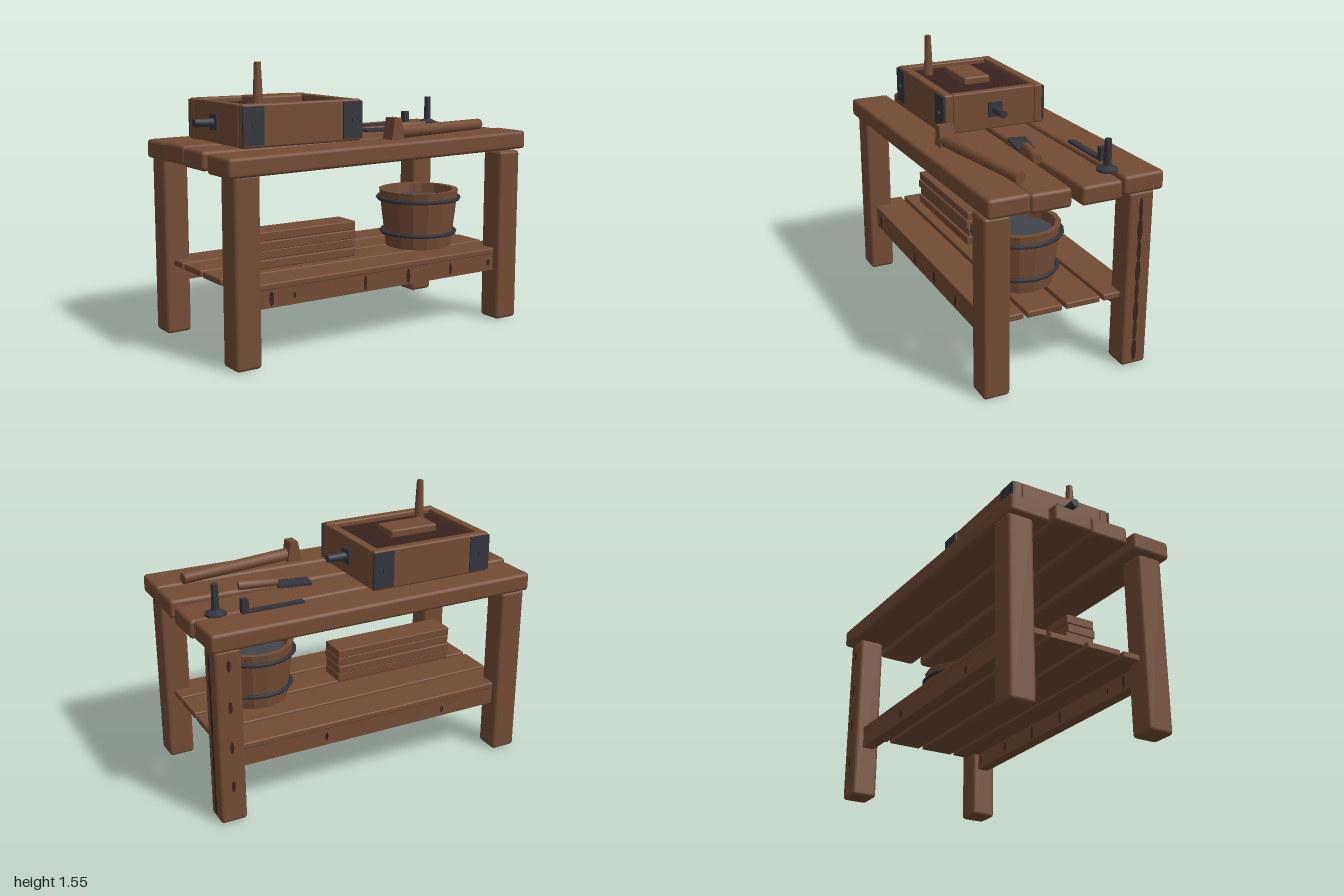
import * as THREE from 'three';
import { RoundedBoxGeometry } from 'three/addons/geometries/RoundedBoxGeometry.js';
import { toCreasedNormals } from 'three/addons/utils/BufferGeometryUtils.js';

const material = (name, color, extra = {}) => {
  const m = new THREE.MeshStandardMaterial({ color, ...extra });
  m.name = name;
  return m;
};

export function createModel() {
  const bench = new THREE.Group();
  bench.name = 'workbench';
  const wood = material('wood', 0x734c35);
  const dark = material('dark wood', 0x38221f);
  const iron = material('iron', 0x34353d);
  const water = material('water', 0x42454c);

  const add = (name, geo, mat, x, y, z, rx = 0, ry = 0, rz = 0, parent = bench) => {
    const m = new THREE.Mesh(geo, mat);
    m.name = name;
    m.position.set(x, y, z);
    m.rotation.set(rx, ry, rz);
    parent.add(m);
    return m;
  };
  const round = (w, h, d, r = 0.01) => new RoundedBoxGeometry(w, h, d, 2, r);
  const box = (w, h, d) => new THREE.BoxGeometry(w, h, d);
  const cyl = (top, bottom, h, n = 10) =>
    toCreasedNormals(new THREE.CylinderGeometry(top, bottom, h, n), 0.9);

  // Worktop: four slightly crooked planks [x, z, length, width, yaw, tilt]
  [
    [0, -0.385, 1.96, 0.24, 0.018, 0.006],
    [0, -0.132, 1.99, 0.235, 0.018, -0.004],
    [0, 0.126, 1.99, 0.23, -0.0125, 0.003],
    [0, 0.379, 1.99, 0.235, 0.0125, 0.01],
  ].forEach(([x, z, l, w, yaw, tilt]) =>
    add('topPlank', round(l, 0.105, w, 0.02), wood, x, 1.06, z, 0, yaw, tilt));

  // Legs, rails and shelf
  for (const sz of [1, -1]) {
    for (const sx of [1, -1]) {
      add('leg', round(0.15, 1.01, 0.15, 0.02), wood, sx * 0.877, 0.505, sz * 0.41);
    }
    add('rail', box(1.64, 0.1, 0.07), wood, 0, 0.348, sz * 0.402);
    add('shelfPlank', round(1.8, 0.036, 0.205, 0.008), wood, 0, 0.412, sz * 0.1135);
    add('shelfPlank', round(1.8, 0.036, 0.205, 0.008), wood, 0, 0.412, sz * 0.3375);
  }

  // Thin dark knots and cracks [x, width, height] on the rails
  const spot = new THREE.CircleGeometry(0.5, 8);
  const knot = (x, y, z, w, h, yaw) =>
    add('woodKnot', spot, dark, x, y, z, 0, yaw).scale.set(w, h, 1);
  for (const [x, w, h] of [[-0.72, 0.03, 0.08], [-0.58, 0.015, 0.04], [-0.125, 0.022, 0.09],
    [0.17, 0.028, 0.09], [0.475, 0.024, 0.07], [0.765, 0.026, 0.04]]) {
    knot(x, 0.347, 0.4385, w, h, 0);
    knot(x, 0.347, 0.3655, w * 0.6, h, Math.PI);
  }
  knot(-0.45, 0.34, -0.4385, 0.02, 0.05, Math.PI);
  knot(0.3, 0.35, -0.4385, 0.02, 0.05, Math.PI);
  // Long crack on one back leg
  for (let i = 0; i < 8; i++) {
    knot(0.9535, 0.09 + i * 0.117, -0.406, i % 2 ? 0.026 : 0.034, 0.14, Math.PI / 2);
    if (i % 2) knot(0.877, 0.1 + i * 0.117, -0.4865, 0.024, 0.07, Math.PI);
  }

  // Wooden box with an iron-strapped frame and an axle
  const chest = new THREE.Group();
  chest.name = 'toolBox';
  chest.position.set(-0.41, 1.225, -0.037);
  bench.add(chest);
  const part = (name, geo, mat, x, y, z, rx, ry, rz) => add(name, geo, mat, x, y, z, rx, ry, rz, chest);
  part('boxFill', box(0.66, 0.19, 0.52), dark, 0, -0.01, 0);
  part('boxLidBlock', round(0.3, 0.05, 0.165, 0.012), wood, -0.017, 0.11, 0);
  for (const s of [1, -1]) {
    part('boxLongBoard', round(0.745, 0.23, 0.055, 0.012), wood, 0, 0, s * 0.28);
    part('boxEndBoard', round(0.05, 0.226, 0.51, 0.008), wood, s * 0.347, 0, 0);
    part('axlePlate', box(0.016, 0.085, 0.085), iron, s * 0.378, 0.002, 0);
    part('axle', cyl(0.023, 0.023, 0.125, 10), iron, s * 0.435, 0.002, 0, 0, 0, Math.PI / 2);
    for (const e of [1, -1]) {
      part('strapPlate', box(0.125, 0.205, 0.012), iron, e * 0.311, 0.002, s * 0.31);
      part('strapBolt', cyl(0.012, 0.012, 0.016, 8), iron, e * 0.311, 0.002, s * 0.319, Math.PI / 2);
    }
  }
  part('peg', cyl(0.019, 0.03, 0.24, 8), wood, -0.205, 0.205, 0.172);

  // Long-handled mallet lying on the front plank
  const headShape = new THREE.Shape([[-0.043, 0], [0.043, 0], [0.024, 0.12], [-0.024, 0.12]]
    .map(([x, y]) => new THREE.Vector2(x, y)));
  add('malletHead', new THREE.ExtrudeGeometry(headShape, { depth: 0.085, bevelEnabled: false }),
    wood, 0.132, 1.113, 0.298);
  add('malletHandle', cyl(0.036, 0.032, 0.7, 10), wood, 0.5, 1.15, 0.292, 0, 0.165, 0)
    .rotateZ(Math.PI / 2);

  // Scraper with an iron blade
  const scraper = new THREE.Group();
  scraper.name = 'scraper';
  scraper.position.set(0.3, 1.12, -0.037);
  scraper.rotation.y = -0.18;
  bench.add(scraper);
  add('scraperBlade', box(0.19, 0.016, 0.1), iron, 0, 0.002, 0, 0, 0, 0, scraper);
  add('scraperHandle', cyl(0.023, 0.027, 0.22, 8), wood, 0.2, 0.018, 0, 0, 0, Math.PI / 2, scraper);

  // Iron square
  add('squareBlade', box(0.355, 0.016, 0.038), iron, 0.548, 1.12, -0.31);
  add('squareStock', box(0.035, 0.075, 0.04), iron, 0.708, 1.156, -0.31);

  // Iron stake on a round foot
  const stake = [[0, 0], [0.058, 0], [0.058, 0.012], [0.022, 0.03], [0.018, 0.17], [0, 0.17]]
    .map(([r, y]) => new THREE.Vector2(r, y));
  add('ironStake', toCreasedNormals(new THREE.LatheGeometry(stake, 12), 0.6), iron, 0.847, 1.114, -0.258);

  // Stack of boards on the shelf
  [0.004, -0.006, 0.006, 0].forEach((dz, i) =>
    add('stackedBoard', round(0.765, 0.05, 0.17, 0.006), wood, -0.379, 0.456 + i * 0.0512, 0.07 + dz));

  // Bucket with faceted staves, two hoops and water
  const bucket = new THREE.Group();
  bucket.name = 'bucket';
  bucket.position.set(0.51, 0.43, 0.086);
  bench.add(bucket);
  const staves = [[0, 0], [0.197, 0], [0.238, 0.34], [0.208, 0.34], [0.19, 0.2], [0, 0.2]]
    .map(([r, y]) => new THREE.Vector2(r, y));
  add('bucketStaves', toCreasedNormals(new THREE.LatheGeometry(staves, 16), 0.2), wood,
    0, 0, 0, 0, 0, 0, bucket);
  add('bucketWater', new THREE.CircleGeometry(0.206, 16), water, 0, 0.285, 0, -Math.PI / 2, 0, 0, bucket);
  for (const [y, r] of [[0.288, 0.243], [0.085, 0.221]]) {
    add('bucketHoop', new THREE.TorusGeometry(r, 0.012, 6, 20), iron, 0, y, 0, Math.PI / 2, 0, 0, bucket);
  }

  return bench;
}
